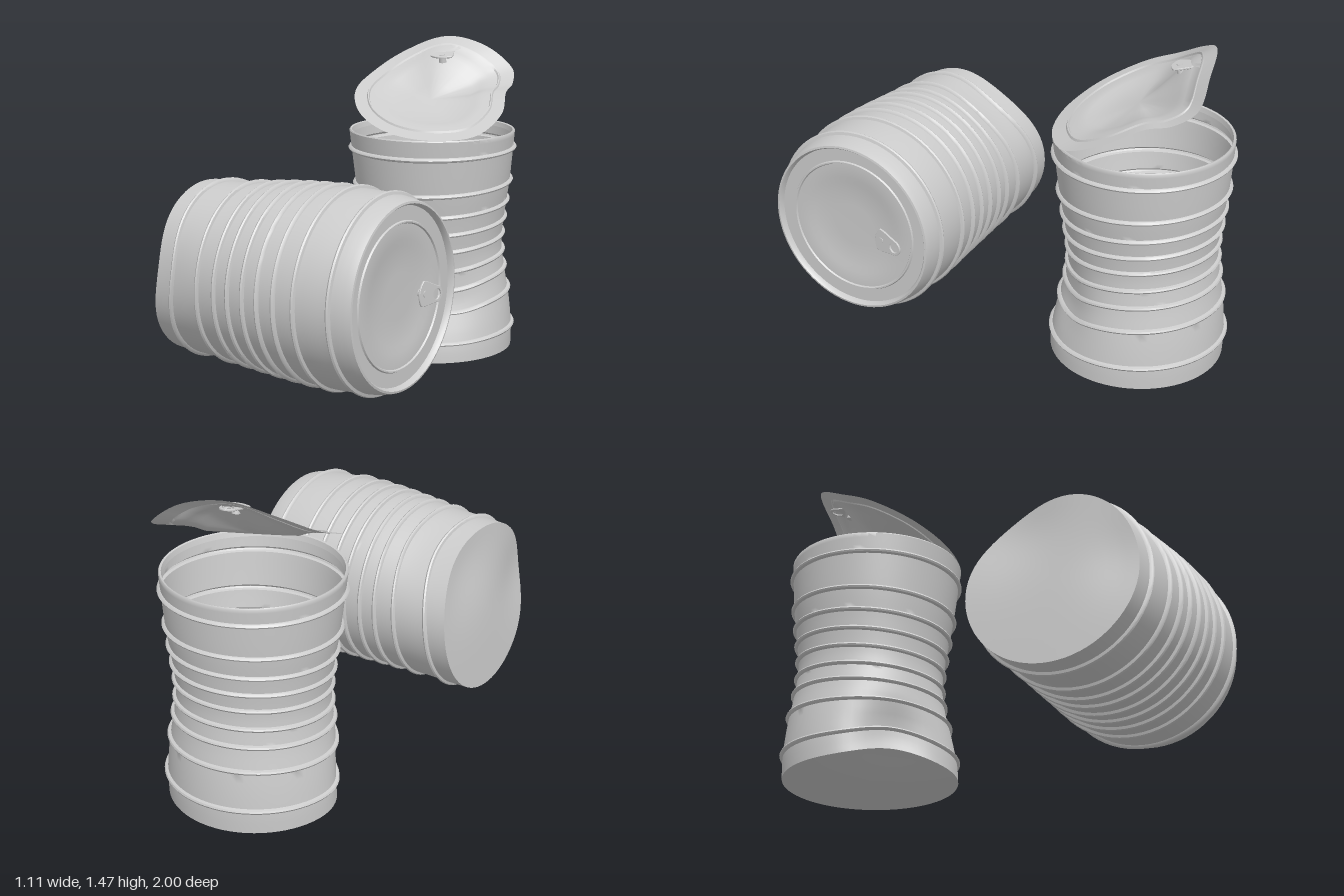
import * as THREE from 'three';
import { toCreasedNormals } from 'three/addons/utils/BufferGeometryUtils.js';

const metal = new THREE.MeshStandardMaterial({ color: 0xcccccc, side: THREE.DoubleSide });
const HEIGHT = 1.05;
const BEADS = [0.1, 0.27, 0.375, 0.455, 0.54, 0.62, 0.705, 0.805, 0.97];
const V2 = (x, y) => new THREE.Vector2(x, y);
const V3 = (x, y, z) => new THREE.Vector3(x, y, z);

function addMesh(parent, name, geometry) {
  const mesh = new THREE.Mesh(geometry, metal);
  mesh.name = name;
  parent.add(mesh);
  return mesh;
}

// Moves every vertex by a rule, then refreshes the normals
function reshape(geometry, rule) {
  const pos = geometry.attributes.position, uv = geometry.attributes.uv, v = V3(0, 0, 0);
  for (let i = 0; i < pos.count; i++) {
    v.fromBufferAttribute(pos, i);
    rule(v, uv.getX(i));
    pos.setXYZ(i, v.x, v.y, v.z);
  }
  return toCreasedNormals(geometry, 0.7);
}

// Smooth local push around a centre
function dent(v, centre, size, push) {
  v.addScaledVector(push, Math.exp(-v.distanceToSquared(centre) / (size * size)));
}

// Radius at each height, eased through [height, radius] pairs
function radiusCurve(pairs) {
  const curve = new THREE.SplineCurve(pairs.map(([h, r]) => V2(h, r)));
  const pts = curve.getPoints(100);
  return h => {
    const i = Math.max(1, pts.findIndex(p => p.x >= h - 1e-6));
    const a = pts[i - 1], b = pts[i];
    return THREE.MathUtils.lerp(a.y, b.y, THREE.MathUtils.clamp((h - a.x) / (b.x - a.x), 0, 1));
  };
}

// Base disc and beaded wall; extra points finish the top end
function canProfile(radius, topPoints) {
  const profile = [];
  for (let i = 0; i < 8; i++) profile.push(V2(radius(0) * i / 8, 0));
  let last = 0;
  const wallTo = end => {
    for (let i = 0; i <= 4; i++) {
      const h = last + (end - last) * i / 4;
      profile.push(V2(radius(h), h));
    }
  };
  for (const h of BEADS) {
    wallTo(h - 0.011);
    for (const [d, out] of [[-0.007, 0.011], [0, 0.015], [0.007, 0.011]])
      profile.push(V2(radius(h) + out, h + d));
    last = h + 0.011;
  }
  wallTo(HEIGHT);
  return profile.concat(topPoints.map(([r, h]) => V2(r, h)));
}

// Pull tab: tapered tongue with a finger ring, plus its rivet
function makeTab(base, direction, up) {
  const tab = new THREE.Group();
  tab.name = 'pullTab';
  const s = new THREE.Shape();
  s.moveTo(0.01, -0.052);
  s.quadraticCurveTo(-0.028, 0, 0.01, 0.052);
  s.lineTo(0.035, 0.05);
  s.lineTo(0.1, 0.034);
  s.absarc(0.1, 0, 0.034, Math.PI / 2, -Math.PI / 2, true);
  s.lineTo(0.035, -0.05);
  s.closePath();
  const hole = new THREE.Path();
  hole.absarc(0.1, 0, 0.024, 0, Math.PI * 2, true);
  s.holes.push(hole);
  addMesh(tab, 'tabPlate', new THREE.ExtrudeGeometry(s, {
    depth: 0.005, bevelEnabled: true, bevelThickness: 0.002, bevelSize: 0.002, bevelSegments: 1, curveSegments: 16
  }));
  const rivet = addMesh(tab, 'tabRivet', new THREE.CylinderGeometry(0.014, 0.018, 0.04, 20));
  rivet.rotation.x = Math.PI / 2;
  rivet.position.set(0.025, 0, -0.01);
  const x = direction.clone().normalize();
  const y = up.clone().cross(x).normalize();
  tab.quaternion.setFromRotationMatrix(new THREE.Matrix4().makeBasis(x, y, x.clone().cross(y)));
  tab.position.copy(base);
  return tab;
}

function makeStandingCan() {
  const can = new THREE.Group();
  can.name = 'openCan';
  const radius = radiusCurve([[0, 0.393], [0.1, 0.391], [0.24, 0.373], [0.36, 0.35], [0.5, 0.334],
    [0.65, 0.348], [0.8, 0.37], [0.97, 0.388], [HEIGHT, 0.396]]);
  const profile = canProfile(radius, [[0.392, 1.056], [0.384, 1.053], [0.378, 1.03]]);
  const body = reshape(new THREE.LatheGeometry(profile, 72), v => {
    // Leaning waist
    const bow = Math.sin(Math.PI * THREE.MathUtils.clamp(v.y / HEIGHT, 0, 1));
    v.y -= 0.085 * bow * v.z;
    v.x -= 0.045;
    v.y += 0.006;
    v.z -= 0.595 + 0.015 * bow;
    // Crushed lower corner and shallow side dent
    dent(v, V3(-0.31, 0.06, -0.3), 0.19, V3(0.065, 0.06, -0.065));
    dent(v, V3(0.27, 0.32, -0.34), 0.17, V3(-0.02, -0.035, -0.02));
  });
  addMesh(can, 'openCanBody', body);

  // Peeled lid: bent rim blended towards its centre
  const rim = new THREE.CatmullRomCurve3([
    V3(-0.05, 1.09, -0.21), V3(-0.25, 1.155, -0.28), V3(-0.38, 1.24, -0.44), V3(-0.385, 1.31, -0.6),
    V3(-0.3, 1.40, -0.75), V3(-0.13, 1.47, -0.875), V3(0.06, 1.43, -0.925), V3(0.2, 1.33, -0.935),
    V3(0.25, 1.27, -0.85), V3(0.275, 1.24, -0.74), V3(0.34, 1.16, -0.58), V3(0.31, 1.08, -0.39),
    V3(0.15, 1.065, -0.25)
  ], true);
  const centre = V3(-0.04, 1.22, -0.57);
  const steps = [[0, -0.02], [0.25, -0.02], [0.5, -0.018], [0.6, -0.005], [0.7, 0], [0.8, 0],
    [0.81, 0.008], [0.825, 0.008], [0.835, 0], [0.92, 0], [1, 0]].map(([t, lift]) => V2(t, lift));
  const lid = reshape(new THREE.LatheGeometry(steps, 80), (v, u) => {
    const t = Math.hypot(v.x, v.z), lift = v.y;
    v.copy(centre).lerp(rim.getPoint(1 - u), t);
    v.y += lift;
    // Raised panel under the tab
    dent(v, V3(-0.09, 1.36, -0.74), 0.12, V3(0, 0.025, 0));
  });
  addMesh(can, 'peeledLid', lid);
  can.add(makeTab(V3(-0.07, 1.385, -0.71), V3(-0.2, 0.2, -1), V3(0, 1, 0)));
  return can;
}

function makeLyingCan() {
  const can = new THREE.Group();
  can.name = 'sealedCan';
  const radius = radiusCurve([[0, 0.39], [0.1, 0.394], [0.33, 0.4], [0.55, 0.413], [0.8, 0.423],
    [0.97, 0.416], [HEIGHT, 0.402]]);
  // Rolled rim and recessed lid with its ridge and dished middle
  const profile = canProfile(radius, [[0.397, 1.064], [0.388, 1.066], [0.382, 1.058], [0.378, 1.04],
    [0.317, 1.04], [0.313, 1.047], [0.307, 1.047], [0.303, 1.04], [0.24, 1.04], [0.21, 1.032],
    [0.1, 1.03], [0, 1.03]]);
  const body = reshape(new THREE.LatheGeometry(profile, 72), v => {
    const h = v.y, side = v.x, low = Math.max(0, 1 - h / 0.6);
    v.set(h - 0.53 + low * (0.065 * -side + 0.03 * v.z), 0.567 - side, 0.557 + v.z - 0.025 * low);
    // Dents at the base end
    dent(v, V3(-0.4, 0.86, 0.33), 0.24, V3(0.055, -0.025, 0.025));
    dent(v, V3(-0.5, 0.62, 0.9), 0.2, V3(0.03, 0, -0.015));
  });
  addMesh(can, 'sealedCanBody', body);
  can.add(makeTab(V3(0.522, 0.55, 0.42), V3(0.17, -0.18, -1), V3(1, 0, 0)));
  return can;
}

export function createModel() {
  const model = new THREE.Group();
  model.name = 'crumpledCans';
  model.add(makeStandingCan(), makeLyingCan());
  return model;
}
